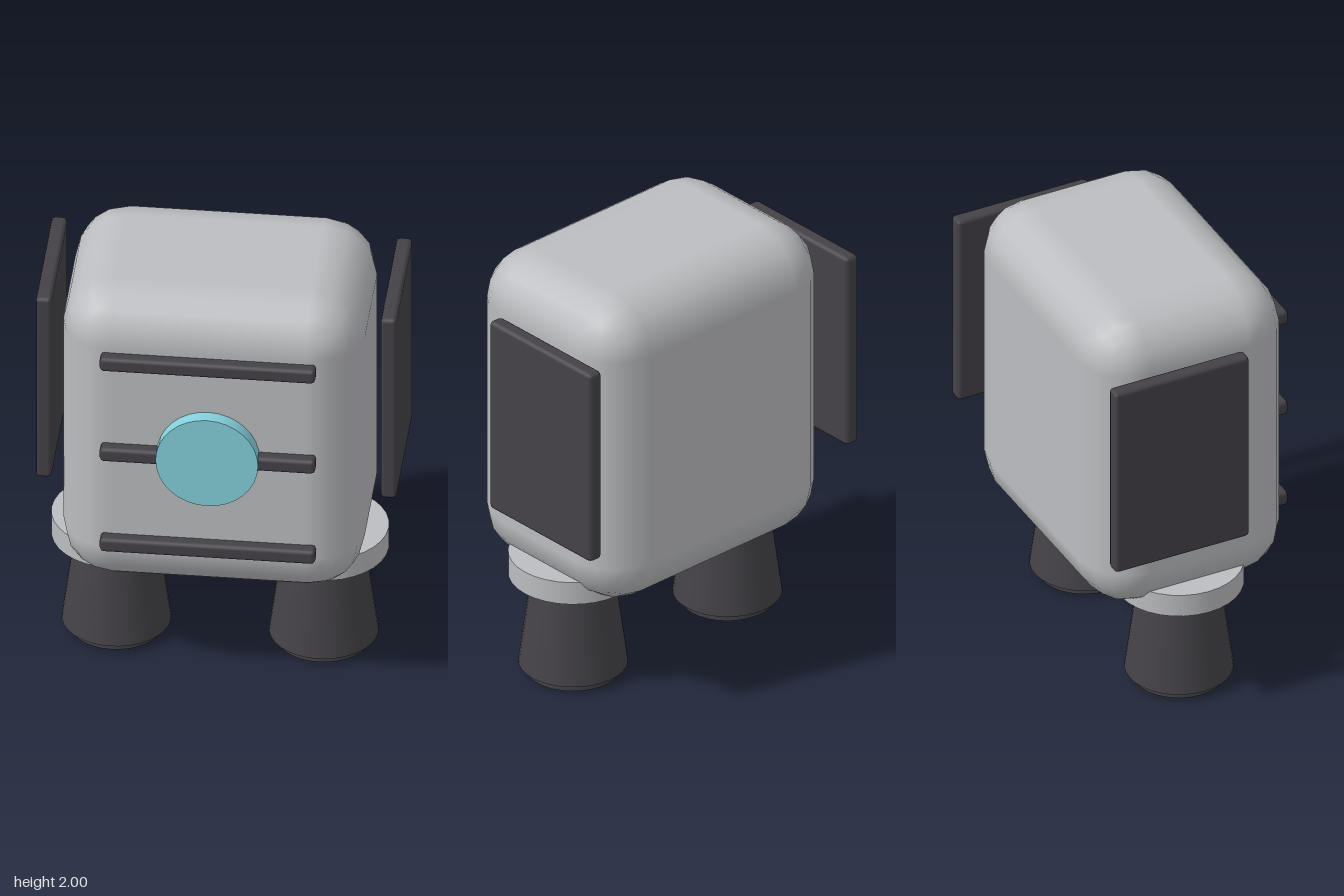
import * as THREE from 'three';
import { RoundedBoxGeometry } from 'three/addons/geometries/RoundedBoxGeometry.js';

const material = (name, color) => {
  const m = new THREE.MeshStandardMaterial({ color });
  m.name = name;
  return m;
};

export function createModel() {
  const grey = material('light grey', 0xbcbdc0);
  const dark = material('charcoal', 0x444247);
  const teal = material('pale teal', 0x84d0dc);

  const model = new THREE.Group();
  model.name = 'backpack';

  const add = (name, geometry, mat, x, y, z, parent = model) => {
    const mesh = new THREE.Mesh(geometry, mat);
    mesh.name = name;
    mesh.position.set(x, y, z);
    parent.add(mesh);
    return mesh;
  };

  // Rounded main casing
  add('body', new RoundedBoxGeometry(1.33, 1.515, 0.955, 2, 0.235), grey, 0, 1.2425, -0.0275);

  // Three horizontal bars on the front
  const bar = new RoundedBoxGeometry(0.95, 0.07, 0.07, 1, 0.018);
  [['lowerBar', 0.765], ['middleBar', 1.242], ['upperBar', 1.718]].forEach(([name, y]) =>
    add(name, bar, dark, 0, y, 0.47));

  // Round light over the middle bar
  const disc = new THREE.CylinderGeometry(0.226, 0.226, 0.085, 32);
  add('frontDisc', disc, teal, 0, 1.243, 0.4725).rotation.x = Math.PI / 2;

  // Side panels and thrusters, mirrored
  const panel = new RoundedBoxGeometry(0.07, 0.945, 0.66, 1, 0.018);
  const collar = new THREE.CylinderGeometry(0.286, 0.286, 0.11, 32);
  const nozzle = new THREE.CylinderGeometry(0.18, 0.241, 0.46, 32);
  const foot = new THREE.CylinderGeometry(0.207, 0.207, 0.05, 32);
  for (const [side, s] of [['left', 1], ['right', -1]]) {
    add(side + 'Panel', panel, dark, s * 0.76, 1.3375, -0.18);

    const thruster = new THREE.Group();
    thruster.name = side + 'Thruster';
    thruster.position.set(s * 0.457, 0, -0.027);
    model.add(thruster);
    add('collar', collar, grey, 0, 0.54, 0, thruster);
    add('nozzle', nozzle, dark, 0, 0.27, 0, thruster);
    add('nozzleBase', foot, dark, 0, 0.025, 0, thruster);
  }
  return model;
}
